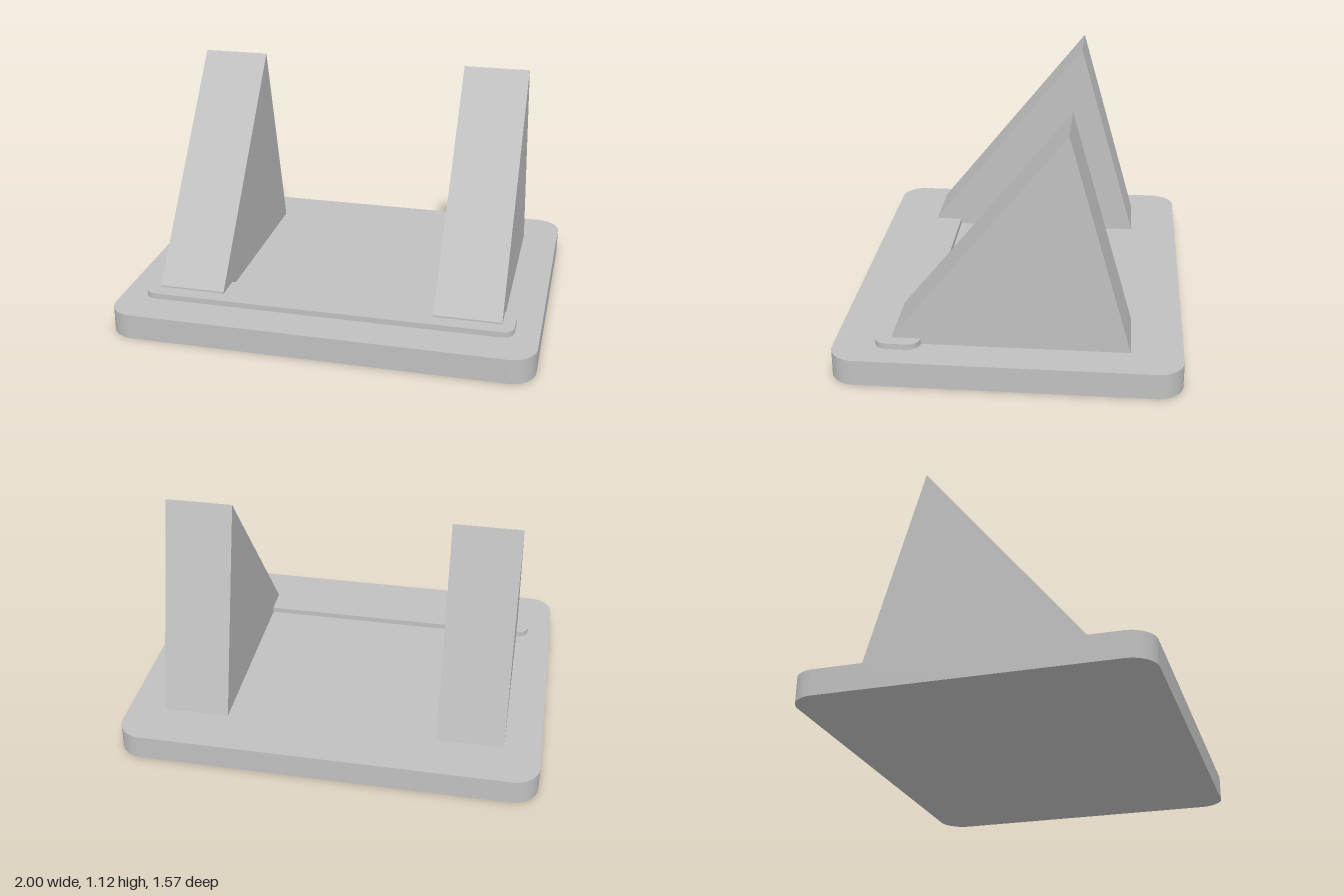
import * as THREE from 'three';
import { toCreasedNormals } from 'three/addons/utils/BufferGeometryUtils.js';

// Flat plate with rounded corners, lying in the xz plane with its underside at y = 0
function roundedPlate(width, depth, height, radius) {
  const w = width / 2, d = depth / 2, r = radius;
  const shape = new THREE.Shape();
  shape.absarc(w - r, d - r, r, 0, Math.PI / 2);
  shape.absarc(-w + r, d - r, r, Math.PI / 2, Math.PI);
  shape.absarc(-w + r, -d + r, r, Math.PI, Math.PI * 1.5);
  shape.absarc(w - r, -d + r, r, Math.PI * 1.5, Math.PI * 2);
  shape.closePath();
  const geometry = new THREE.ExtrudeGeometry(shape, { depth: height, bevelEnabled: false, curveSegments: 10 });
  geometry.rotateX(-Math.PI / 2);
  return toCreasedNormals(geometry, 0.6);
}

// Triangular support: side profile given as (z, y), extruded across x and centred
function wedge(width) {
  const profile = [[-0.548, 0.12], [0.52, 0.12], [0.52, 0.155], [-0.262, 1.125]];
  const shape = new THREE.Shape(profile.map(([z, y]) => new THREE.Vector2(z, y)));
  const geometry = new THREE.ExtrudeGeometry(shape, { depth: width, bevelEnabled: false });
  geometry.translate(0, 0, -width / 2);
  geometry.rotateY(-Math.PI / 2);
  return geometry;
}

export function createModel() {
  const model = new THREE.Group();
  model.name = 'stand';
  const grey = new THREE.MeshStandardMaterial({ color: 0xc0c0c0 });
  grey.name = 'light grey';

  const add = (name, geometry, x, y, z) => {
    const mesh = new THREE.Mesh(geometry, grey);
    mesh.name = name;
    mesh.position.set(x, y, z);
    model.add(mesh);
  };

  // Base and the raised strip along its front
  add('base', roundedPlate(2, 1.565, 0.12, 0.12), 0, 0, 0);
  add('frontStrip', roundedPlate(1.77, 0.203, 0.027, 0.055), 0, 0.12, 0.492);

  // Pair of leaning supports
  const supportGeometry = wedge(0.318);
  for (const side of [-1, 1]) {
    add(side > 0 ? 'leftSupport' : 'rightSupport', supportGeometry, side * 0.667, 0, 0);
  }
  return model;
}
